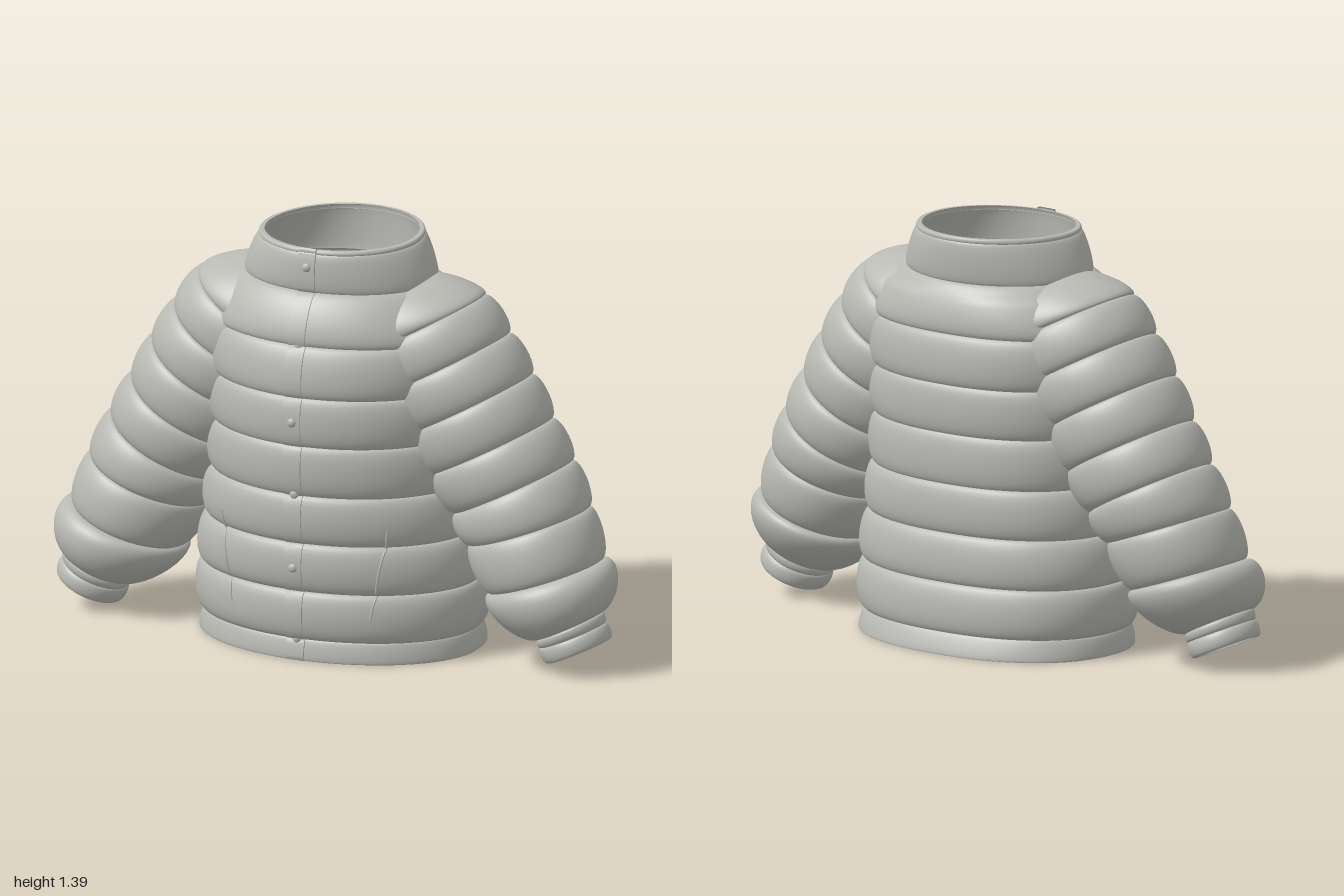
import * as THREE from 'three';
import { mergeGeometries, toCreasedNormals } from 'three/addons/utils/BufferGeometryUtils.js';

// Body stitch lines: height, half width, front depth, back depth, puffiness of the section above
const BODY = [
  [0.0, 0.485, 0.34, 0.372, 0.006],
  [0.07, 0.47, 0.328, 0.345, 0.03],
  [0.235, 0.472, 0.332, 0.335, 0.03],
  [0.4, 0.452, 0.337, 0.325, 0.028],
  [0.565, 0.435, 0.343, 0.325, 0.024],
  [0.735, 0.43, 0.35, 0.325, 0.024],
  [0.9, 0.43, 0.348, 0.33, 0.028],
  [1.07, 0.43, 0.32, 0.322, 0.035],
  [1.235, 0.325, 0.25, 0.275, 0.012],
  [1.368, 0.272, 0.244, 0.28, 0.005],
  [1.383, 0.268, 0.24, 0.278, 0],
];

// Sleeve stitch lines: outer x, y, inner x, y, centre z, half depth, puffiness of the next section
const SLEEVE = [
  [0.27, 1.25, 0.04, 1.02, -0.01, 0.19, 0.035],
  [0.49, 1.2, 0.07, 0.97, -0.01, 0.22, 0.026],
  [0.577, 1.08, 0.16, 0.85, -0.01, 0.222, 0.026],
  [0.66, 0.95, 0.26, 0.73, -0.01, 0.215, 0.026],
  [0.735, 0.81, 0.34, 0.6, -0.01, 0.207, 0.026],
  [0.81, 0.675, 0.43, 0.48, -0.01, 0.2, 0.026],
  [0.88, 0.53, 0.49, 0.385, 0.005, 0.194, 0.026],
  [0.937, 0.365, 0.57, 0.235, 0.022, 0.186, 0.056],
  [0.957, 0.2, 0.752, 0.1, 0.055, 0.115, 0.008],
  [0.968, 0.165, 0.76, 0.072, 0.053, 0.112, 0.01],
  [0.988, 0.115, 0.785, 0.022, 0.052, 0.114, 0],
];

const SIDES = 72;
const mix = (a, b, t) => a.map((v, i) => v + (b[i] - v) * t);
const puff = (t) => Math.sqrt(Math.max(0, 1 - (2 * t - 1) ** 2));

// Skin a list of cross-sections, each an array of Vector3
function skin(rings, closed = true) {
  const n = rings[0].length, index = [];
  for (let i = 0; i < rings.length - 1; i++) {
    for (let j = 0; j < (closed ? n : n - 1); j++) {
      const k = (j + 1) % n, a = i * n + j, b = i * n + k;
      index.push(a, a + n, b, b, a + n, b + n);
    }
  }
  const g = new THREE.BufferGeometry().setFromPoints(rings.flat());
  g.setIndex(index);
  g.computeVertexNormals();
  return g;
}

// Body section i at fraction t, with its bulge
function bodyAt(i, t, bulge = 1) {
  const [y, rx, zf, zb] = mix(BODY[i], BODY[i + 1], t);
  const b = BODY[i][4] * puff(t) * bulge;
  return { y, rx: rx + b, zf: zf + b * 0.9, zb: zb + b * 0.8 };
}

function bodyAtHeight(y, bulge = 1) {
  let i = 0;
  while (i < BODY.length - 2 && y > BODY[i + 1][0]) i++;
  const t = (y - BODY[i][0]) / (BODY[i + 1][0] - BODY[i][0]);
  return bodyAt(i, Math.min(1, Math.max(0, t)), bulge);
}

// Back is a little squarer than the front; the collar top tilts up to the back
const power = (z, y) => (z < 0 && y < 1.2 ? 2.3 : 2);
function bodyRing({ y, rx, zf, zb }, scale = 1) {
  return Array.from({ length: SIDES }, (_, j) => {
    const a = (j / SIDES) * Math.PI * 2, c = Math.cos(a), s = Math.sin(a), e = 2 / power(s, y);
    const z = Math.sign(s) * Math.abs(s) ** e * (s > 0 ? zf : zb) * scale;
    const tilt = Math.max(0, (y - 1.235) / 0.15) * -0.022 * z;
    return new THREE.Vector3(Math.sign(c) * Math.abs(c) ** e * rx * scale, y + tilt, z);
  });
}

// Push hidden sleeve points out to the body wall so the inside stays clear
function clearBody(p) {
  const { rx, zf, zb } = bodyAtHeight(p.y, 0), n = power(p.z, p.y);
  const e = ((Math.abs(p.x) / rx) ** n + (Math.abs(p.z) / (p.z > 0 ? zf : zb)) ** n) ** (1 / n);
  if (e < 0.965) {
    p.x *= 0.965 / e;
    p.z *= 0.965 / e;
  }
  return p;
}

function sleeveRing(i, t, side, scale = 1) {
  const [ox, oy, ix, iy, zc, hz] = mix(SLEEVE[i], SLEEVE[i + 1], t);
  const b = SLEEVE[i][6] * puff(t);
  const len = Math.hypot(ox - ix, oy - iy) / 2, k = ((len + b) / len) * scale;
  return Array.from({ length: SIDES }, (_, j) => {
    const a = (j / SIDES) * Math.PI * 2, c = Math.cos(a) * k;
    return clearBody(new THREE.Vector3(
      side * ((ox + ix) / 2 + ((ox - ix) / 2) * c),
      (oy + iy) / 2 + ((oy - iy) / 2) * c,
      zc - side * (hz + b) * scale * Math.sin(a)));
  });
}

// Steps packed towards the stitch lines
const steps = (m) => Array.from({ length: m + 1 }, (_, k) => (1 - Math.cos((Math.PI * k) / m)) / 2);

export function createModel() {
  const group = new THREE.Group();
  const fabric = new THREE.MeshStandardMaterial({ color: 0xb9b9b4, side: THREE.DoubleSide });
  fabric.name = 'grey fabric';
  const add = (name, geometry) => {
    const mesh = new THREE.Mesh(geometry, fabric);
    mesh.name = name;
    group.add(mesh);
    return mesh;
  };

  // Quilted body, hem and collar, each with its own lining
  const sections = BODY.slice(0, -1).map((_, i) => skin(steps(14).map((t) => bodyRing(bodyAt(i, t)))));
  add('hem', sections[0]);
  add('quiltedBody', mergeGeometries(sections.slice(1, 8)));
  add('collar', mergeGeometries(sections.slice(8)));
  const inner = (i) => (i > 7 ? 0.955 : 0.915);
  add('lining', mergeGeometries(BODY.slice(0, -1).map((_, i) =>
    skin(steps(8).reverse().map((t) =>
      bodyRing(bodyAt(i, t, 0.3), THREE.MathUtils.lerp(inner(i), inner(i + 1), t)))))));
  add('hemEdge', skin([bodyRing(bodyAt(0, 0), 0.915), bodyRing(bodyAt(0, 0))]));
  add('collarEdge', skin([bodyRing(bodyAt(9, 1)), bodyRing(bodyAt(9, 1), 0.955)]));

  // Sleeves with gathered cuffs
  for (const [side, label] of [[1, 'left'], [-1, 'right']]) {
    const parts = SLEEVE.slice(0, -1).map((_, i) => skin(steps(14).map((t) => sleeveRing(i, t, side))));
    add(label + 'Sleeve', mergeGeometries(parts.slice(0, 8)));
    add(label + 'Cuff', mergeGeometries(parts.slice(8)));
    add(label + 'CuffEdge', skin([sleeveRing(9, 1, side), sleeveRing(9, 1, side, 0.88)]));
    add(label + 'CuffLining', skin([[9, 1], [9, 0], [8, 0]].map(([i, t]) => sleeveRing(i, t, side, 0.88))));
  }

  // Front placket following the quilting
  const rows = BODY.slice(0, -1).flatMap((_, i) => steps(10).slice(0, -1).map((t) => bodyAt(i, t)));
  add('placket', toCreasedNormals(skin(rows.map(({ y, zf }) =>
    [[0.026, -0.01], [0.025, 0.004], [-0.037, 0.004], [-0.038, -0.01]].map(([x, d]) =>
      new THREE.Vector3(x, y, zf + d))), false), 0.7));

  // Snap buttons
  for (let i = 0; i < 6; i++) {
    const y = 0.07 + i * 0.25;
    const button = add('button', new THREE.SphereGeometry(0.015, 20, 12));
    button.scale.z = 0.6;
    button.position.set(-0.004, y, bodyAtHeight(y).zf + 0.004);
  }

  // Slanted pocket seams
  for (const side of [1, -1]) {
    const path = Array.from({ length: 25 }, (_, k) => {
      const x = 0.3 - 0.05 * (k / 24), y = 0.46 - 0.3 * (k / 24), { rx, zf } = bodyAtHeight(y);
      return new THREE.Vector3(side * x, y, zf * Math.sqrt(1 - (x / rx) ** 2));
    });
    add('pocketSeam', new THREE.TubeGeometry(new THREE.CatmullRomCurve3(path), 60, 0.004, 6));
  }
  return group;
}
